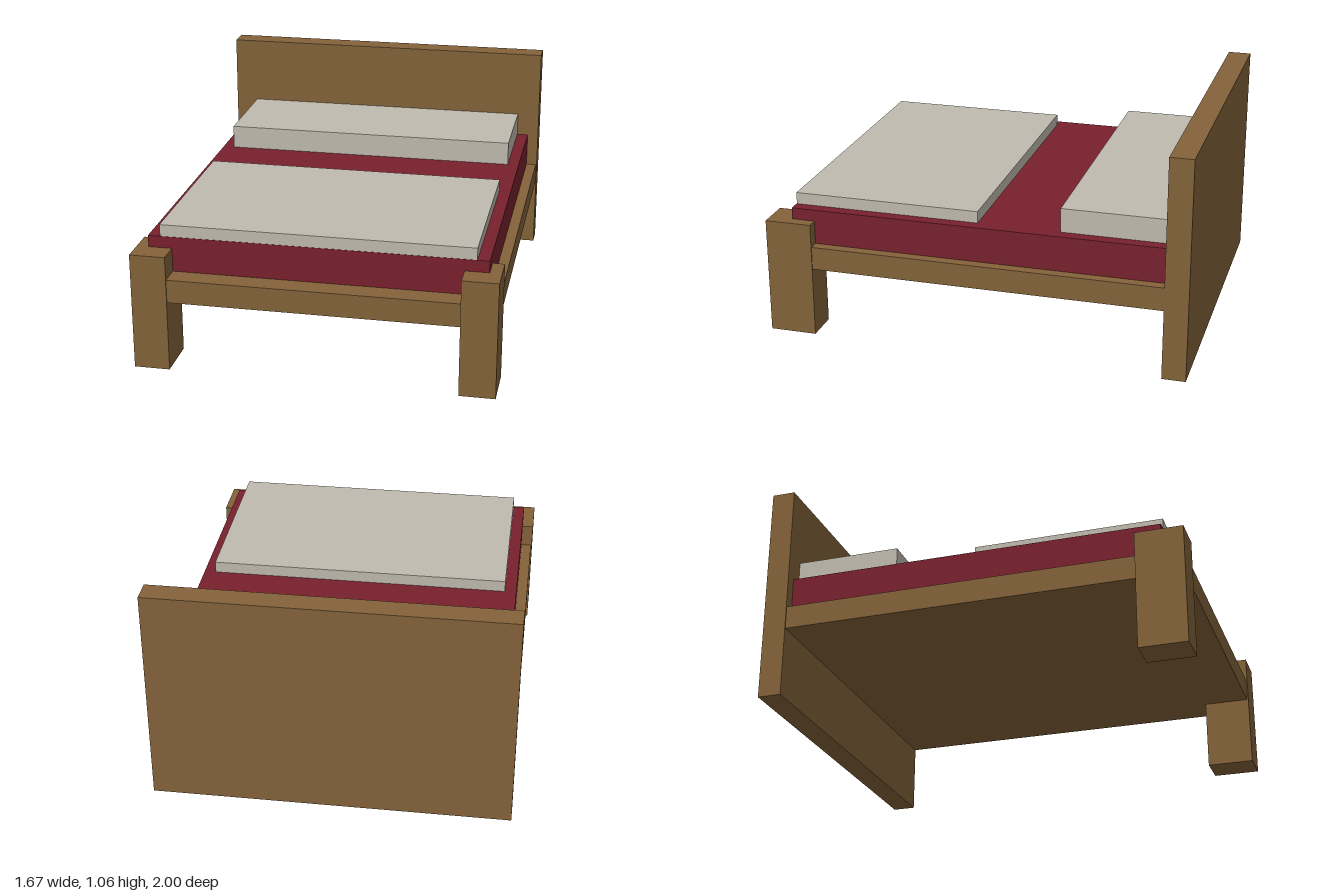
import * as THREE from 'three';

const material = (name, color) => {
  const m = new THREE.MeshStandardMaterial({ color });
  m.name = name;
  return m;
};

// Box given by its low and high limits along each axis
function box(name, mat, [x0, x1], [y0, y1], [z0, z1]) {
  const mesh = new THREE.Mesh(new THREE.BoxGeometry(x1 - x0, y1 - y0, z1 - z0), mat);
  mesh.position.set((x0 + x1) / 2, (y0 + y1) / 2, (z0 + z1) / 2);
  mesh.name = name;
  return mesh;
}

export function createModel() {
  const wood = material('wood', 0x84633a);
  const red = material('red bedding', 0x78212d);
  const linen = material('pale linen', 0xc0bbaf);

  const bed = new THREE.Group();
  bed.name = 'bed';

  // Wooden frame: headboard down to the floor, and a slightly inset base
  bed.add(box('headboard', wood, [-0.833, 0.833], [0, 1.056], [-1, -0.889]));
  bed.add(box('base', wood, [-0.828, 0.828], [0.333, 0.444], [-0.889, 0.994]));

  // Front corner posts
  for (const [side, x] of [['left', 0.75], ['right', -0.75]]) {
    bed.add(box(side + 'FrontPost', wood, [x - 0.083, x + 0.083], [0, 0.556], [0.778, 1]));
  }

  // Bedding
  bed.add(box('mattress', red, [-0.778, 0.778], [0.444, 0.611], [-0.889, 0.889]));
  bed.add(box('pillow', linen, [-0.722, 0.722], [0.611, 0.725], [-0.889, -0.389]));
  bed.add(box('blanket', linen, [-0.722, 0.722], [0.611, 0.667], [0, 0.887]));

  return bed;
}
